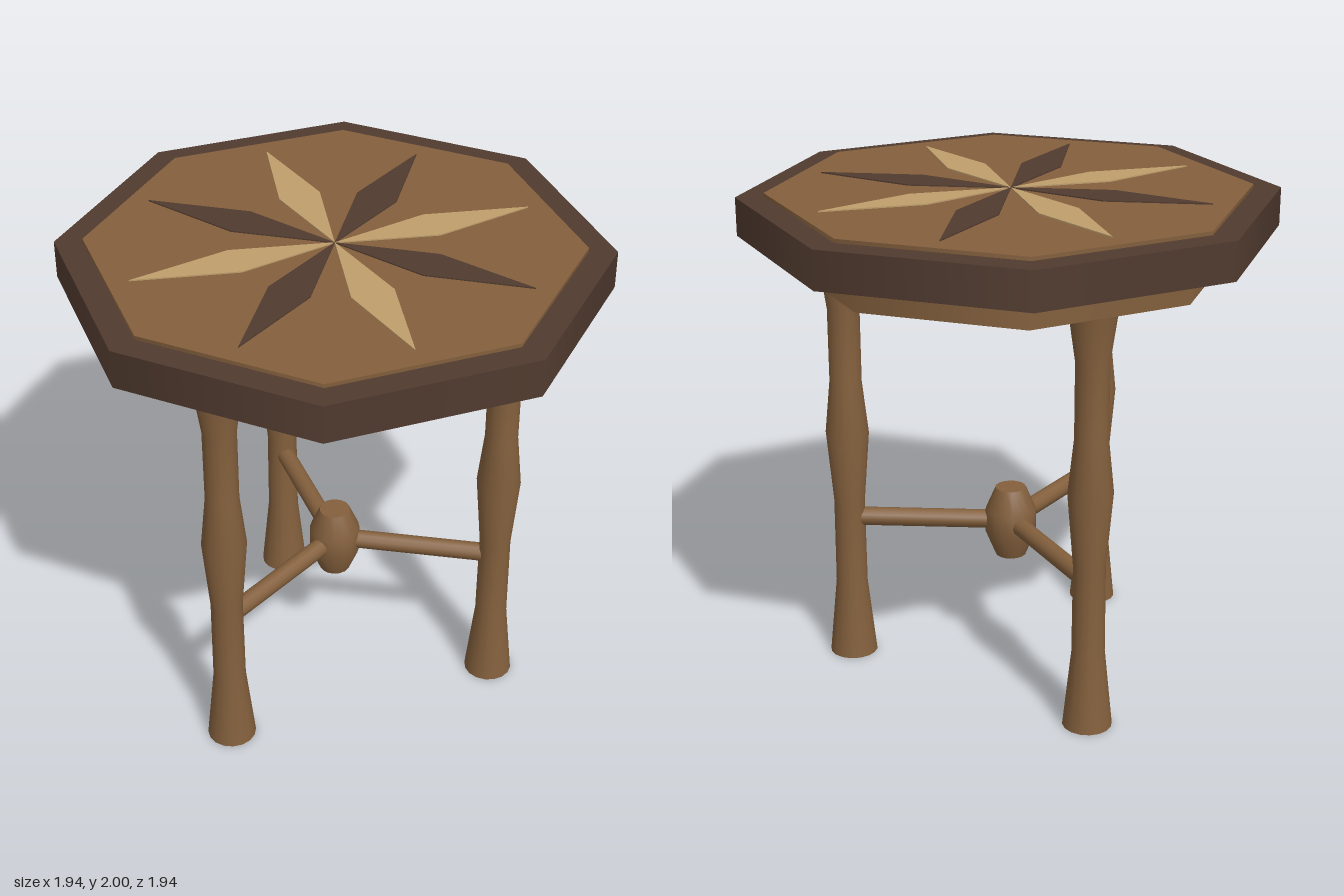
import * as THREE from 'three';

const material = (name, color) => {
  const m = new THREE.MeshStandardMaterial({ color });
  m.name = name;
  return m;
};

export function createModel() {
  const table = new THREE.Group();
  table.name = 'octagonalTable';
  const wood = material('mid brown wood', 0x84603d);
  const dark = material('dark brown wood', 0x513b2f);
  const light = material('pale wood', 0xbe9e6c);

  const add = (parent, name, geometry, mat) => {
    const mesh = new THREE.Mesh(geometry, mat);
    mesh.name = name;
    parent.add(mesh);
    return mesh;
  };

  // Eight-sided slab with softly shaded sides, sized across its flats
  const slab = (name, halfWidth, y0, y1, mat) => {
    const r = halfWidth / Math.cos(Math.PI / 8);
    const g = new THREE.CylinderGeometry(r, r, y1 - y0, 8).rotateY(Math.PI / 8);
    add(table, name, g, mat).position.y = (y0 + y1) / 2;
  };
  slab('apron', 0.79, 1.705, 1.83, wood);
  slab('topRim', 0.97, 1.83, 1.98, dark);
  slab('topPanel', 0.87, 1.975, 1.995, wood);

  // Star inlay: eight thin kite petals, alternating pale and dark
  const petal = new THREE.Shape([[0, 0], [0.39, -0.083], [0.79, 0], [0.39, 0.083]]
    .map(([x, y]) => new THREE.Vector2(x, y)));
  const petalGeometry = new THREE.ExtrudeGeometry(petal, { depth: 0.005, bevelEnabled: false })
    .rotateX(-Math.PI / 2);
  const star = new THREE.Group();
  star.name = 'starInlay';
  star.position.y = 1.995;
  for (let i = 0; i < 8; i++) {
    const isDark = i % 2 === 1;
    add(star, isDark ? 'darkPetal' : 'palePetal', petalGeometry, isDark ? dark : light)
      .rotation.y = i * Math.PI / 4;
  }
  table.add(star);

  const lathe = (points, sides) =>
    new THREE.LatheGeometry(points.map(([r, y]) => new THREE.Vector2(r, y)), sides);

  // Turned leg profile, with a separate flat foot
  const legGeometry = lathe([
    [0.098, 0], [0.065, 0.32], [0.063, 0.68], [0.088, 0.98],
    [0.065, 1.2], [0.065, 1.5], [0.095, 1.71],
  ], 16);
  const footGeometry = new THREE.CircleGeometry(0.098, 16).rotateX(Math.PI / 2);
  const stretcherGeometry = new THREE.CylinderGeometry(0.038, 0.038, 0.6, 12)
    .rotateX(Math.PI / 2).translate(0, 0.61, 0.34);

  // Three legs around the centre, one at the back, each tied to the hub
  for (let i = 0; i < 3; i++) {
    const arm = new THREE.Group();
    arm.name = ['backLeg', 'leftLeg', 'rightLeg'][i];
    arm.rotation.y = Math.PI + i * Math.PI * 2 / 3;
    add(arm, 'leg', legGeometry, wood).position.z = 0.662;
    add(arm, 'foot', footGeometry, wood).position.z = 0.662;
    add(arm, 'stretcher', stretcherGeometry, wood);
    table.add(arm);
  }

  // Barrel-shaped hub where the stretchers meet, with flat ends
  add(table, 'hub', lathe([[0.062, 0.46], [0.103, 0.56], [0.103, 0.66], [0.062, 0.755]], 16), wood);
  for (const [name, y, turn] of [['hubTop', 0.755, -1], ['hubBottom', 0.46, 1]]) {
    add(table, name, new THREE.CircleGeometry(0.062, 16).rotateX(turn * Math.PI / 2), wood).position.y = y;
  }
  return table;
}
